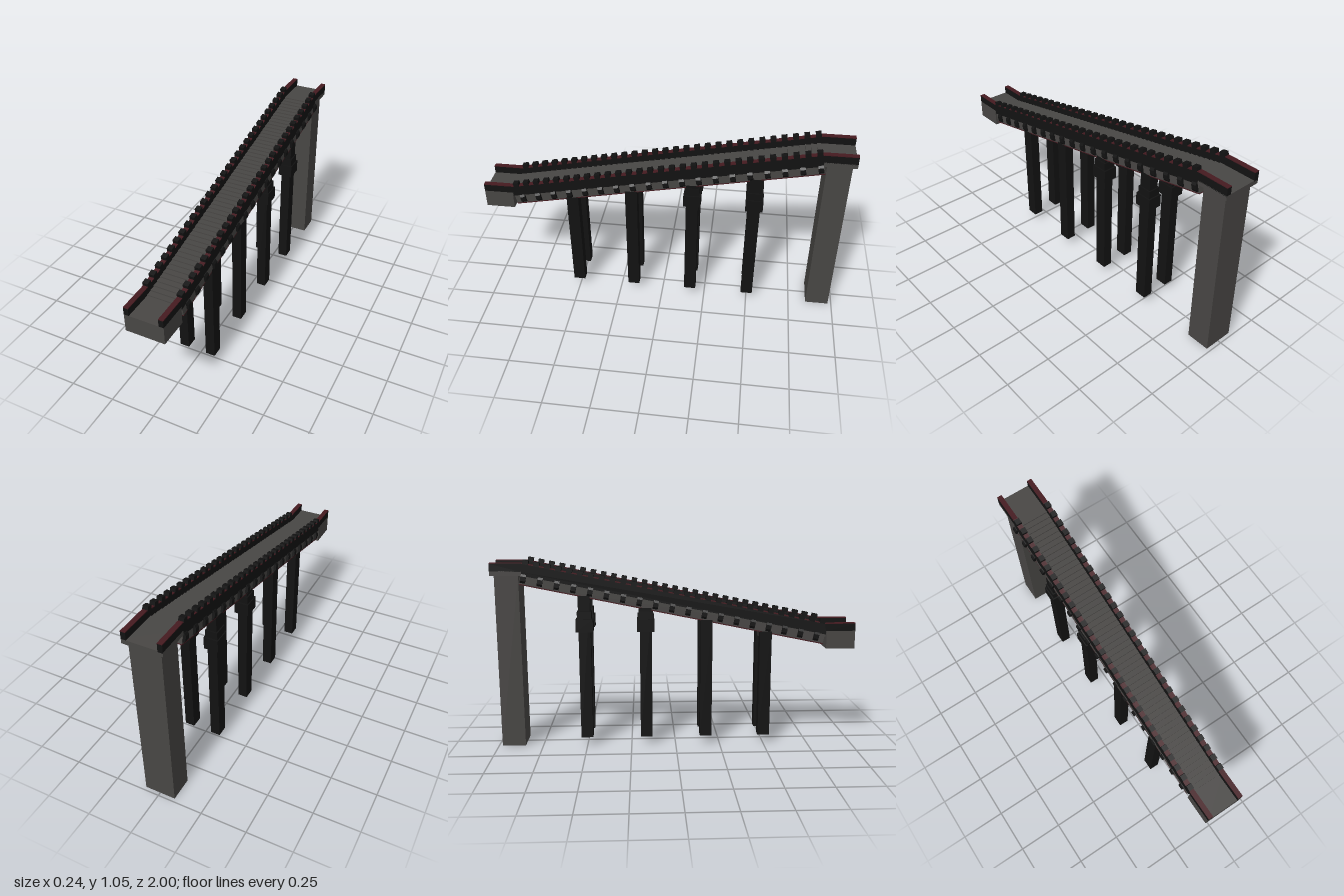
import * as THREE from 'three';

const mat = (color) => new THREE.MeshStandardMaterial({ color, flatShading: true });

export function createModel() {
  const root = new THREE.Group();
  const black = mat(0x121212), grey = mat(0x484644), red = mat(0x451a20);

  const add = (name, geometry, material) => {
    const mesh = new THREE.Mesh(geometry, material);
    mesh.name = name;
    root.add(mesh);
    return mesh;
  };
  // box given by its extents
  const box = (name, x0, x1, y0, y1, z0, z1, material) => {
    const mesh = add(name, new THREE.BoxGeometry(x1 - x0, y1 - y0, z1 - z0), material);
    mesh.position.set((x0 + x1) / 2, (y0 + y1) / 2, (z0 + z1) / 2);
    return mesh;
  };
  // side profile of [z, y] points, extruded across x
  const profile = (name, points, x0, x1, material) => {
    const shape = new THREE.Shape(points.map(([z, y]) => new THREE.Vector2(z, y)));
    const g = new THREE.ExtrudeGeometry(shape, { depth: x1 - x0, bevelEnabled: false });
    g.rotateY(-Math.PI / 2);
    g.translate(x1, 0, 0);
    return add(name, g, material);
  };

  // underside of the inclined ramp
  const slope = 0.205, tilt = Math.atan(slope);
  const under = (z) => 0.745 - slope * z;
  const band = (name, low, high, z0, z1, x0, x1, material) => profile(name, [
    [z0, under(z0) + low], [z1, under(z1) + low],
    [z1 + 0.2 * high, under(z1) + high], [z0 + 0.2 * high, under(z0) + high],
  ], x0, x1, material);

  // end platforms and rear tower
  box('lowerPlatform', -0.107, 0.107, 0.55, 0.65, 0.84, 1, grey);
  box('upperPlatform', -0.107, 0.107, 0.965, 0.99, -1, -0.83, grey);
  box('rearTower', -0.085, 0.085, 0, 0.965, -0.98, -0.85, grey);

  // ramp body with a dark red soffit
  band('rampBody', 0.004, 0.062, -0.845, 0.82, -0.105, 0.105, grey);
  band('rampSoffit', -0.002, 0.004, -0.845, 0.82, -0.105, 0.105, red);

  // stair treads
  const steps = 56, zLow = 0.84, zHigh = -0.83;
  const stair = [[zHigh, 0.955], [zLow, 0.612]];
  for (let i = 0; i < steps; i++) {
    const y = 0.65 + (0.34 * (i + 1)) / steps;
    const z = (k) => zLow + ((zHigh - zLow) * k) / steps;
    stair.push([z(i), y], [z(i + 1), y]);
  }
  profile('stairs', stair, -0.081, 0.081, grey);

  for (const side of [-1, 1]) {
    const span = (a, b) => (side > 0 ? [a, b] : [-b, -a]);
    const [x0, x1] = span(0.08, 0.107);

    // parapet along platforms and slope
    profile('parapet', [
      [1, 0.65], [1, 0.69], [0.83, 0.69], [-0.83, 1.03], [-1, 1.03],
      [-1, 0.985], [-0.83, 0.985], [-0.83, 0.965], [0.835, 0.63], [0.835, 0.65],
    ], x0, x1, black);
    profile('parapetCap', [
      [1, 0.69], [1, 0.694], [0.83, 0.694], [-0.83, 1.034], [-1, 1.034],
      [-1, 1.03], [-0.83, 1.03], [0.83, 0.69],
    ], x0, x1, red);

    // blocks along the rail
    const teeth = 29;
    for (let i = 0; i < teeth; i++) {
      const z = 0.815 - (1.62 * i) / (teeth - 1);
      const tooth = add('railBlock', new THREE.BoxGeometry(0.03, 0.024, 0.03), black);
      tooth.position.set(side * 0.0935, under(z) + 0.126, z);
      tooth.rotation.x = tilt;
    }

    // chamfered brackets on the ramp flank
    for (let i = 0; i < 19; i++) {
      const z = 0.78 - 0.0889 * i;
      const s = new THREE.Shape([
        [0.1, -0.024], [0.112, -0.024], [0.12, -0.012],
        [0.12, 0.012], [0.112, 0.024], [0.1, 0.024],
      ].map(([x, y]) => new THREE.Vector2(side * x, y)));
      const g = new THREE.ExtrudeGeometry(s, { depth: 0.028, bevelEnabled: false });
      g.translate(0, 0, -0.014);
      const bracket = add('flankBracket', g, black);
      bracket.position.set(0, under(z) + 0.036, z);
      bracket.rotation.x = tilt;
    }

    // support columns, the two upper pairs with stepped collars
    [0.5, 0.17, -0.165, -0.5].forEach((z, i) => {
      const [c0, c1] = span(0.053, 0.107);
      const top = under(z);
      box('column', c0, c1, 0.05, top + 0.006, z - 0.033, z + 0.033, black);
      if (i > 1) {
        const [a0, a1] = span(0.04, 0.12), [b0, b1] = span(0.046, 0.114);
        box('columnCollar', a0, a1, 0.655, 0.725, z - 0.047, z + 0.047, black);
        box('collarTop', b0, b1, 0.725, 0.768, z - 0.039, z + 0.039, black);
      }
    });
  }

  // cross beams joining each column pair
  for (const z of [0.5, 0.17, -0.165, -0.5]) {
    const y = under(z) - 0.045;
    box('crossBeam', -0.06, 0.06, y, y + 0.028, z - 0.02, z + 0.02, grey);
  }
  return root;
}
